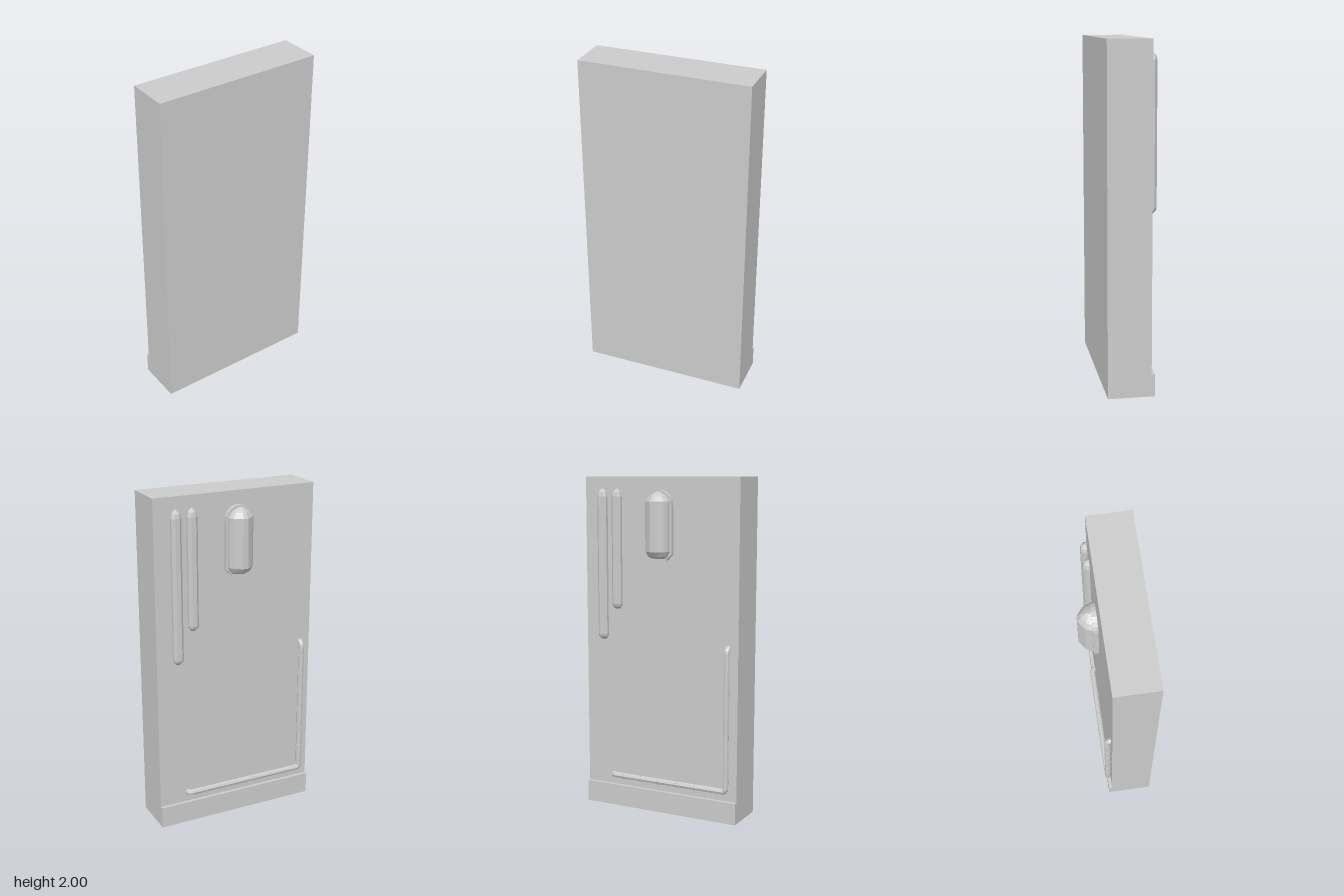
import * as THREE from 'three';

const grey = new THREE.MeshStandardMaterial({ color: 0xcccccc, flatShading: true, side: THREE.DoubleSide });

function add(group, geometry, name, x = 0, y = 0, z = 0) {
  const mesh = new THREE.Mesh(geometry, grey);
  mesh.name = name;
  mesh.position.set(x, y, z);
  group.add(mesh);
  return mesh;
}

// Raised form on the -x side: a half profile of [depth, z] swept up through
// levels of [y, depth scale, width scale], closed at both ends and at the back.
function bump(profile, levels) {
  const pos = [], index = [], n = profile.length;
  for (const [y, d, w] of levels)
    for (const [depth, z] of profile) pos.push(-depth * d, y, z * w);
  for (let r = 0; r < levels.length - 1; r++)
    for (let i = 0; i < n; i++) {
      const j = (i + 1) % n, a = r * n + i, b = r * n + j;
      index.push(a, b, b + n, a, b + n, a + n);
    }
  const top = (levels.length - 1) * n;
  for (let i = 1; i < n - 1; i++) index.push(0, i + 1, i, top, top + i, top + i + 1);
  const g = new THREE.BufferGeometry();
  g.setAttribute('position', new THREE.Float32BufferAttribute(pos, 3));
  g.setIndex(index);
  const flat = g.toNonIndexed();
  flat.computeVertexNormals();
  return flat;
}

export function createModel() {
  const model = new THREE.Group();

  // Wall slab and skirting
  add(model, new THREE.BoxGeometry(0.25, 2, 1), 'wall', 0.055, 1, 0);
  add(model, new THREE.BoxGeometry(0.03, 0.13, 1), 'skirting', -0.075, 0.065, 0);

  // Two long strips with rounded ends
  const stripProfile = [[0, -0.03], [0.018, -0.03], [0.034, -0.014], [0.034, 0.014], [0.018, 0.03], [0, 0.03]];
  for (const [z, bottom] of [[-0.375, 1.035], [-0.278, 1.225]]) {
    const levels = [
      [bottom, 0.45, 0.45], [bottom + 0.015, 0.85, 0.9], [bottom + 0.03, 1, 1],
      [1.885, 1, 1], [1.91, 0.85, 0.75], [1.93, 0.3, 0.2],
    ];
    add(model, bump(stripProfile, levels), 'strip', -0.081, 0, z);
  }

  // Wall lamp: arched back plate and faceted glass
  const lamp = new THREE.Group();
  lamp.name = 'wallLamp';
  lamp.position.set(0, 0, 0.007);
  model.add(lamp);
  const outline = new THREE.Shape();
  outline.moveTo(-0.05, 1.525);
  outline.lineTo(0.05, 1.525);
  outline.lineTo(0.087, 1.56);
  outline.lineTo(0.087, 1.838);
  outline.absarc(0, 1.838, 0.087, 0, Math.PI, false);
  outline.lineTo(-0.087, 1.56);
  const plate = new THREE.ExtrudeGeometry(outline, { depth: 0.027, bevelEnabled: false, curveSegments: 5 });
  add(lamp, plate, 'lampPlate', -0.083).rotation.y = -Math.PI / 2;

  const glassProfile = [[0, -0.076], [0.02, -0.073], [0.042, -0.058], [0.074, -0.015],
    [0.074, 0.015], [0.042, 0.058], [0.02, 0.073], [0, 0.076]];
  add(lamp, bump(glassProfile, [
    [1.535, 0.4, 0.6], [1.547, 0.7, 0.82], [1.575, 1, 1], [1.86, 1, 1],
    [1.89, 0.75, 0.7], [1.905, 0.5, 0.4], [1.915, 0.2, 0.1],
  ]), 'lampGlass', -0.109);

  // Conduit: along the skirting, up the far edge, both ends turning into the wall
  const V = (x, y, z) => new THREE.Vector3(x, y, z);
  const px = -0.09, py = 0.193, pz = 0.438, wx = -0.06;
  const path = new THREE.CurvePath();
  path.add(new THREE.QuadraticBezierCurve3(V(wx, py, -0.322), V(px, py, -0.322), V(px, py, -0.29)));
  path.add(new THREE.LineCurve3(V(px, py, -0.29), V(px, py, pz - 0.025)));
  path.add(new THREE.QuadraticBezierCurve3(V(px, py, pz - 0.025), V(px, py, pz), V(px, py + 0.025, pz)));
  path.add(new THREE.LineCurve3(V(px, py + 0.025, pz), V(px, 1.005, pz)));
  path.add(new THREE.QuadraticBezierCurve3(V(px, 1.005, pz), V(px, 1.037, pz), V(wx, 1.037, pz)));
  add(model, new THREE.TubeGeometry(path, 200, 0.0175, 8, false), 'conduit');

  // Thin clips at even spacing on the conduit
  const clip = new THREE.CylinderGeometry(0.02, 0.02, 0.007, 8);
  for (let i = 0; i < 6; i++) add(model, clip, 'conduitClip', px, 0.35 + i * 0.12, pz);
  for (let i = 0; i < 5; i++)
    add(model, clip, 'conduitClip', px, py, -0.245 + i * 0.12).rotation.x = Math.PI / 2;

  return model;
}
